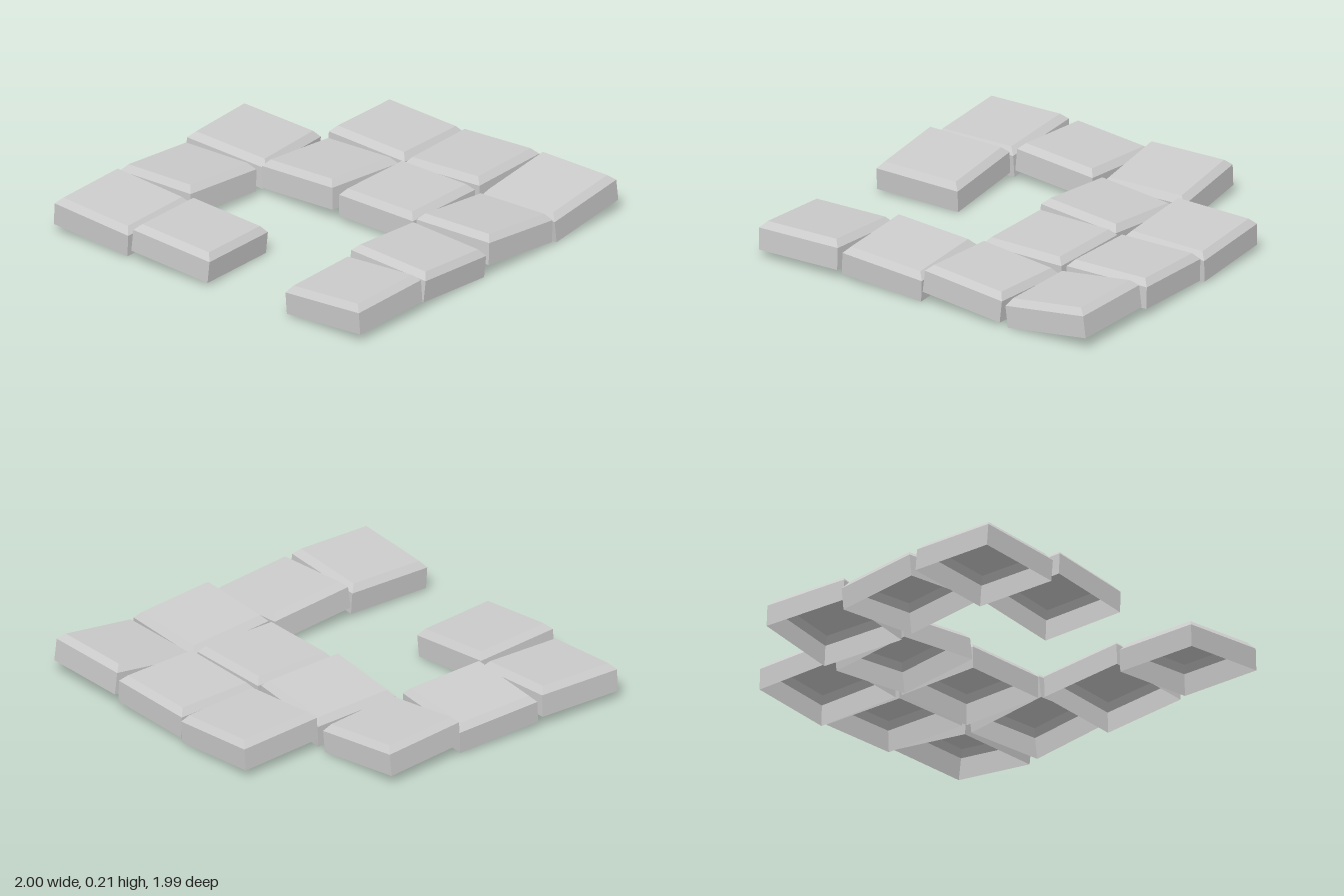
import * as THREE from 'three';

// Square tile shell, open underneath, with a bevelled top edge
function tileGeometry(half, height, inset, bevel) {
  const h = height / 2;
  const profile = [
    [half, -h],
    [half, h - bevel],
    [half - inset, h],
    [0, h],
  ].map(([r, y]) => new THREE.Vector2(r * Math.SQRT2, y));
  const geo = new THREE.LatheGeometry(profile, 4, Math.PI / 4).toNonIndexed();
  geo.computeVertexNormals();
  return geo;
}

// Each tile: x, z, tilt about x, yaw, tilt about z
const TILES = [
  // back row
  [-0.237, -0.752, -0.03, 0.04, -0.06],
  [0.25, -0.755, 0, 0.03, 0.04],
  [0.753, -0.75, 0.13, 0, 0],
  // second row
  [-0.735, -0.255, -0.02, 0.09, -0.09],
  [-0.237, -0.252, -0.06, -0.055, 0.07],
  [0.255, -0.255, 0, 0, 0],
  [0.753, -0.255, -0.09, -0.02, 0.04],
  // third row
  [-0.732, 0.245, -0.06, -0.05, 0.05],
  [0.747, 0.245, -0.075, 0.02, -0.06],
  // front row
  [-0.737, 0.742, 0.02, 0, -0.07],
  [-0.237, 0.742, -0.03, 0.05, -0.085],
  [0.753, 0.742, 0.02, 0, 0.065],
];

export function createModel() {
  const model = new THREE.Group();
  model.name = 'looseFloorTiles';
  const geometry = tileGeometry(0.237, 0.148, 0.03, 0.033);
  const material = new THREE.MeshStandardMaterial({
    color: 0xcccccc, flatShading: true, side: THREE.DoubleSide,
  });
  TILES.forEach(([x, z, rx, ry, rz], i) => {
    const tile = new THREE.Mesh(geometry, material);
    tile.name = `floorTile${i + 1}`;
    tile.position.set(x, 0.108, z);
    tile.rotation.set(rx, ry, rz, 'YXZ');
    model.add(tile);
  });
  return model;
}
